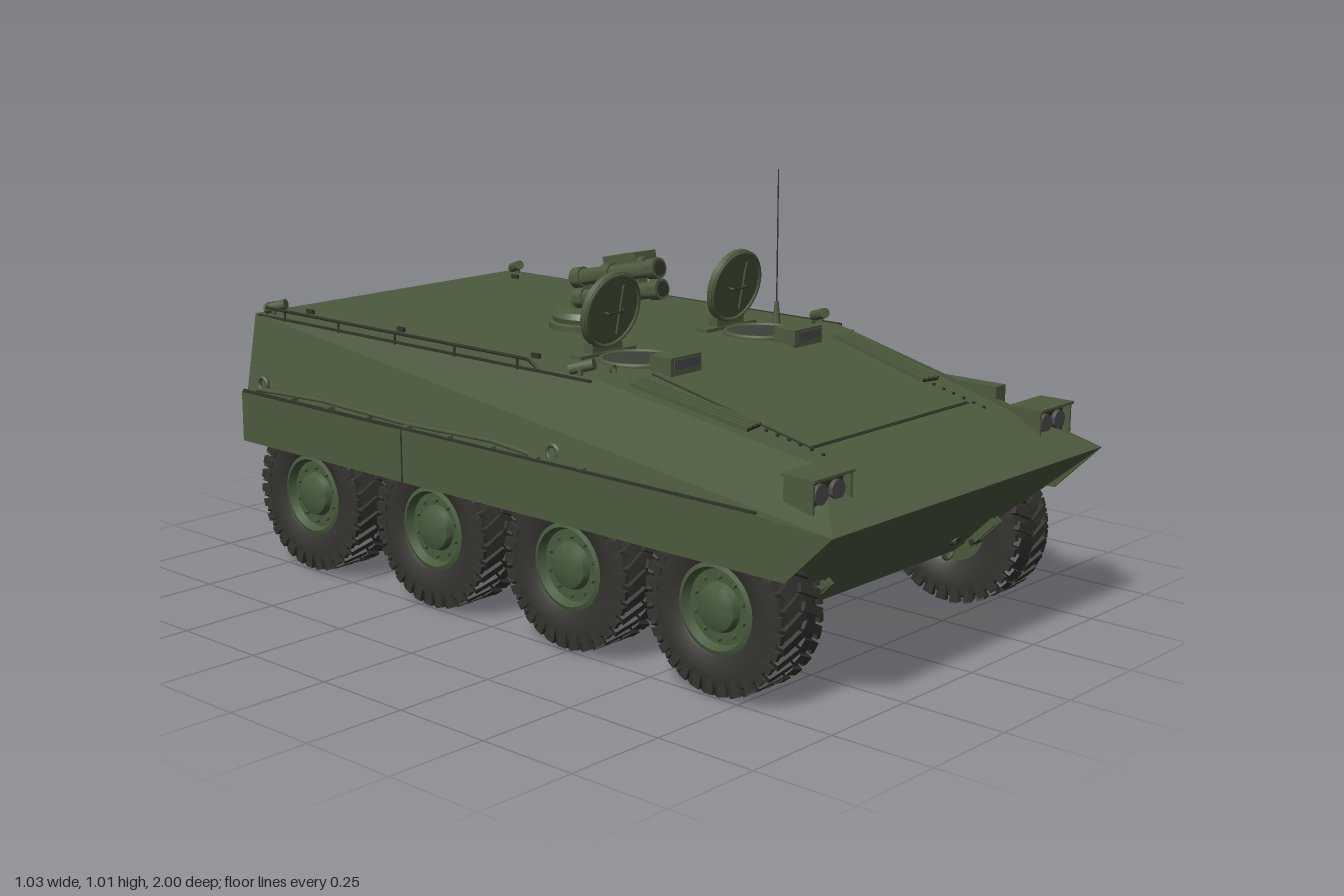
import * as THREE from 'three';
import { mergeGeometries, toCreasedNormals } from 'three/addons/utils/BufferGeometryUtils.js';
import { ConvexGeometry } from 'three/addons/geometries/ConvexGeometry.js';

const mat = (name, color, side = THREE.FrontSide) => new THREE.MeshStandardMaterial({ name, color, side });

export function createModel() {
  const model = new THREE.Group();
  model.name = 'armouredCarrier';
  const green = mat('hullGreen', 0x4d5a3e), sheet = mat('sheetGreen', 0x4d5a3e, THREE.DoubleSide);
  const dark = mat('darkGrille', 0x30352a), rubber = mat('tyreRubber', 0x35332f);
  const rimGreen = mat('rimGreen', 0x475a3c), glass = mat('greyGlass', 0x4a4b4a), pit = mat('hatchInterior', 0x3e4039);

  const add = (name, geo, m, pos = [0, 0, 0], rot = [0, 0, 0], parent = model) => {
    const o = new THREE.Mesh(geo, m);
    o.name = name;
    o.position.set(...pos);
    o.rotation.set(...rot);
    parent.add(o);
    return o;
  };
  const group = (name, pos, rot = [0, 0, 0], parent = model) => {
    const g = new THREE.Group();
    g.name = name;
    g.position.set(...pos);
    g.rotation.set(...rot);
    parent.add(g);
    return g;
  };
  const box = (x, y, z) => new THREE.BoxGeometry(x, y, z);
  const cyl = (r, h, r2 = r, n = 24) => toCreasedNormals(new THREE.CylinderGeometry(r2, r, h, n), 0.6);
  const lathe = (pts, n = 40) => toCreasedNormals(new THREE.LatheGeometry(pts.map(p => new THREE.Vector2(...p)), n), 0.6);
  const tube = (pts, r) => new THREE.TubeGeometry(new THREE.CatmullRomCurve3(pts.map(p => new THREE.Vector3(...p)), false, 'catmullrom', 0.1), 24, r, 6);
  // Convex block whose points are mirrored across x
  const block = pts => new ConvexGeometry(pts.flatMap(([x, y, z]) => [new THREE.Vector3(x, y, z), new THREE.Vector3(-x, y, z)]));
  const sides = [-1, 1], H = Math.PI / 2;

  // Hull
  add('upperHull', block([[0.455, 0.625, -0.91], [0.44, 0.625, 0.28], [0.35, 0.508, 0.85],
    [0.51, 0.418, 1], [0.505, 0.425, 0.8], [0.49, 0.425, -0.91]]), green);
  add('lowerHull', block([[0.355, 0.425, -0.91], [0.35, 0.16, -0.9], [0.34, 0.16, 0.6], [0.3, 0.16, 0.74], [0.355, 0.425, 0.7]]), green);
  add('lowerNose', block([[0.51, 0.418, 1], [0.3, 0.16, 0.74], [0.3, 0.16, 0.6], [0.355, 0.42, 0.6], [0.5, 0.42, 0.86]]), green);
  const noseZ = y => 1 - (0.418 - y) * 1.008;
  add('nosePressing', block([[0.2, 0.38, noseZ(0.38)], [0.14, 0.21, noseZ(0.21)], [0, 0.285, noseZ(0.285) + 0.012]]), green);

  // Skirts and shelves along the sides
  const skirt = new THREE.Shape([[-1, 0.418], [-0.88, 0.3], [0.905, 0.3], [0.905, 0.43], [-0.8, 0.43]].map(p => new THREE.Vector2(...p)));
  for (const s of sides) {
    add('sideSkirt', new THREE.ExtrudeGeometry(skirt, { depth: 0.006, bevelEnabled: false }), green, [s * 0.509 - 0.003, 0, 0], [0, H, 0]);
    add('sponsonShelf', box(0.16, 0.012, 1.75), green, [s * 0.43, 0.422, -0.03]);
    add('skirtJoint', box(0.004, 0.13, 0.005), dark, [s * 0.511, 0.365, -0.29]);
    add('skirtEdge', box(0.006, 0.008, 1.7), dark, [s * 0.509, 0.432, -0.05]);
    for (let i = 0; i < 9; i++) add('shelfBracket', box(0.028, 0.012, 0.02), green, [s * 0.497, 0.434, 0.3 - i * 0.145]);
    add('towCable', tube([[s * 0.497, 0.44, 0.13], [s * 0.497, 0.45, 0], [s * 0.497, 0.442, -0.3], [s * 0.497, 0.45, -0.6], [s * 0.497, 0.44, -0.85]], 0.006), green);
    for (const z of [0.2, -0.84]) add('cableEye', new THREE.TorusGeometry(0.017, 0.006, 8, 16), green, [s * 0.493, 0.455, z], [0, H, 0]);
    add('roofSeam', box(0.006, 0.006, 1.18), dark, [s * 0.453, 0.622, -0.31]);
    for (const z of [-0.8, -0.45, 0.02]) add('roofClip', box(0.008, 0.012, 0.025), dark, [s * 0.365, 0.63, z]);
  }

  // Intake grille on the left flank
  const intake = group('sideIntake', [0.478, 0.485, 0.59]);
  add('intakeFrame', box(0.04, 0.09, 0.3), green, [0, 0, 0], [0, 0, 0], intake);
  add('intakeMesh', box(0.004, 0.072, 0.27), dark, [0.021, 0, 0], [0, 0, 0], intake);
  for (let i = 0; i < 5; i++) add('intakeSlat', box(0.005, 0.005, 0.27), green, [0.023, -0.028 + i * 0.014, 0], [0, 0, 0], intake);
  add('sideLamp', box(0.03, 0.035, 0.06), green, [0.462, 0.59, 0.27]);

  // Glacis panel, louvres and rivets
  const glacis = group('glacis', [0, 0.5665, 0.565], [0.2025, 0, 0]);
  add('enginePanel', box(0.58, 0.008, 0.46), green, [0, 0.001, -0.02], [0, 0, 0], glacis);
  add('enginePanelSeam', box(0.588, 0.004, 0.468), dark, [0, 0, -0.02], [0, 0, 0], glacis);
  for (const s of sides) {
    const louvre = group('louvre', [s * 0.348, 0.003, -0.075], [0, -s * 0.14, 0], glacis);
    add('louvreBase', box(0.052, 0.006, 0.31), dark, [0, 0, 0], [0, 0, 0], louvre);
    for (let i = 0; i < 4; i++) add('louvreBar', box(0.007, 0.012, 0.31), green, [-0.024 + i * 0.016, 0.002, 0], [0, 0, 0], louvre);
    for (let i = 0; i < 6; i++) add('rivet', box(0.006, 0.005, 0.006), dark, [s * (0.31 - i * 0.002), 0.003, 0.1 + i * 0.03], [0, 0, 0], glacis);
  }

  // Headlamps, tow fittings and roof corner launchers
  for (const s of sides) {
    const lamp = group('headlamp', [s * 0.42, 0.482, 0.89]);
    add('lampHousing', box(0.125, 0.07, 0.06), green, [0, 0, -0.01], [0, 0, 0], lamp);
    add('lampHood', box(0.135, 0.006, 0.09), green, [0, 0.036, 0], [0, 0, 0], lamp);
    add('lampRecess', box(0.11, 0.058, 0.004), dark, [0, 0, 0.021], [0, 0, 0], lamp);
    for (const k of sides) {
      add('lens', cyl(0.022, 0.014), glass, [k * 0.028, 0, 0.026], [H, 0, 0], lamp);
      add('lampCheek', box(0.005, 0.07, 0.075), green, [k * 0.063, 0, 0.002], [0, 0, 0], lamp);
    }
    for (const k of sides) add('towBracket', box(0.008, 0.1, 0.03), green, [s * 0.32 + k * 0.011, 0.22, noseZ(0.22) + 0.004], [0.78, 0, 0]);
    add('towPin', cyl(0.007, 0.04), dark, [s * 0.32, 0.19, noseZ(0.19) + 0.018], [0, 0, H]);
    add('towRing', new THREE.TorusGeometry(0.02, 0.005, 8, 20), green, [s * 0.285, 0.163, 0.735]);
    add('rearTowRing', new THREE.TorusGeometry(0.02, 0.005, 8, 20), green, [s * 0.22, 0.17, -0.92]);
    for (const z of [0.23, -0.86]) {
      add('cornerLampStalk', cyl(0.006, 0.03), green, [s * 0.435, 0.632, z]);
      add('cornerLamp', cyl(0.013, 0.06, 0.013, 16), green, [s * 0.428, 0.645, z], [H - 0.3, 0, s * 0.4]);
    }
    add('liftingEye', new THREE.TorusGeometry(0.009, 0.003, 6, 14), green, [s * 0.36, 0.632, 0.26]);
  }
  add('drainPlug', new THREE.TorusGeometry(0.012, 0.004, 8, 20), dark, [0.225, 0.21, noseZ(0.21) + 0.003], [0.78, 0, 0]);

  // Hatches with raised round lids
  const lid = (name, r, pos, tilt) => {
    const g = group(name, pos, [tilt, 0, 0]);
    add('lidPlate', lathe([[0, -0.008], [r, -0.008], [r, 0.006], [r * 0.92, 0.012], [0, 0.014]]), green, [0, 0, 0], [-H, 0, 0], g);
    add('lidRim', new THREE.TorusGeometry(r * 0.93, 0.005, 6, 40), green, [0, 0, 0.008], [0, 0, 0], g);
    add('lidHandle', tube([[-0.028, 0, 0.006], [-0.027, 0, 0.022], [0.027, 0, 0.022], [0.028, 0, 0.006]], 0.003), dark, [0, 0, 0], [0, 0, 0], g);
    add('lidRib', box(0.005, r * 1.3, 0.006), green, [r * 0.25, 0, 0.01], [0, 0, 0], g);
    return g;
  };
  for (const s of sides) {
    const x = s * 0.222;
    lid('crewHatchLid', 0.093, [x, 0.732, 0.122], 0.2);
    add('hatchRing', new THREE.TorusGeometry(0.086, 0.007, 8, 40), green, [x, 0.627, 0.21], [H, 0, 0]);
    add('hatchOpening', cyl(0.084, 0.006, 0.084, 40), pit, [x, 0.626, 0.21]);
    add('hatchBase', box(0.19, 0.008, 0.035), green, [x, 0.629, 0.1]);
    add('hatchHinge', box(0.1, 0.025, 0.03), green, [x, 0.642, 0.098]);
    add('periscope', box(0.105, 0.045, 0.065), green, [x, 0.634, 0.325]);
    add('periscopeGlass', box(0.085, 0.022, 0.004), glass, [x, 0.64, 0.359]);
  }
  lid('rearHatchLid', 0.07, [0.175, 0.705, -0.2], 0.25);
  add('rearHatchHinge', box(0.05, 0.03, 0.025), green, [0.175, 0.635, -0.215]);

  // Weapon mount
  const turret = group('weaponMount', [0, 0.625, -0.16]);
  add('mountRing', lathe([[0.1, 0], [0.1, 0.014], [0.09, 0.018], [0.094, 0.03], [0.085, 0.044], [0.05, 0.05], [0, 0.05]]), green, [0, 0, 0], [0, 0, 0], turret);
  add('pedestal', box(0.09, 0.07, 0.09), green, [0.02, 0.08, 0.02], [0, 0, 0], turret);
  add('yoke', cyl(0.045, 0.025), green, [0, 0.055, 0], [0, 0, 0], turret);
  const cradle = group('launcherCradle', [0, 0.76, 0], [-0.2, 0, 0]);
  for (const y of [-0.025, 0.025]) {
    add('launchTube', cyl(0.02, 0.27), green, [-0.07, y, 0.005], [H, 0, 0], cradle);
    for (const z of [-0.12, -0.02, 0.13]) add('tubeCollar', cyl(0.025, 0.03), green, [-0.07, y, z], [H, 0, 0], cradle);
    add('tubeMouth', cyl(0.018, 0.004), dark, [-0.07, y, 0.146], [H, 0, 0], cradle);
  }
  add('cradleBeam', box(0.07, 0.035, 0.12), glass, [-0.025, -0.01, -0.08], [0, 0, 0], cradle);
  add('crossArm', box(0.12, 0.03, 0.05), green, [0, -0.03, -0.1], [0, 0, 0], cradle);
  add('sightBox', box(0.075, 0.06, 0.11), green, [0.05, 0.035, -0.06], [0, 0, 0], cradle);
  add('sightLens', cyl(0.019, 0.02), green, [0.03, 0.035, 0.003], [H, 0, 0], cradle);
  add('sightGlass', cyl(0.015, 0.004), glass, [0.03, 0.035, 0.014], [H, 0, 0], cradle);
  add('sightBracket', box(0.03, 0.06, 0.05), green, [0.05, -0.02, -0.05], [0, 0, 0], cradle);

  // Antenna and roof rail
  add('antennaBase', cyl(0.011, 0.06, 0.005, 12), green, [0.325, 0.655, 0.175]);
  add('antennaRod', cyl(0.002, 0.36, 0.0015, 6), dark, [0.325, 0.835, 0.175]);
  add('roofRail', tube([[-0.455, 0.625, 0.12], [-0.455, 0.645, 0.09], [-0.455, 0.645, -0.85], [-0.43, 0.645, -0.9], [-0.38, 0.645, -0.905]], 0.004), dark);
  for (let i = 0; i < 5; i++) add('railPost', cyl(0.003, 0.03, 0.003, 6), dark, [-0.455, 0.632, 0.05 - i * 0.21]);

  // Rear doors and stowage bins
  for (const s of sides) {
    add('doorSeam', box(0.204, 0.374, 0.004), dark, [s * 0.103, 0.39, -0.911]);
    add('rearDoor', box(0.196, 0.366, 0.009), green, [s * 0.102, 0.39, -0.912]);
    add('doorHandle', tube([[s * 0.035, 0.43, -0.914], [s * 0.035, 0.425, -0.93], [s * 0.035, 0.37, -0.93], [s * 0.035, 0.365, -0.914]], 0.004), dark);
    for (const y of [0.27, 0.51]) add('doorHinge', box(0.035, 0.016, 0.012), green, [s * 0.195, y, -0.918]);
    add('rearStep', box(0.05, 0.035, 0.03), green, [s * 0.3, 0.19, -0.91]);
    add('tailLamp', box(0.035, 0.05, 0.02), dark, [s * 0.425, 0.5, -0.915]);
    const bin = new THREE.Shape([[0.9, 0.26], [0.945, 0.26], [0.995, 0.31], [0.992, 0.5], [0.96, 0.548], [0.9, 0.565]].map(p => new THREE.Vector2(...p)));
    add('stowageBin', new THREE.ExtrudeGeometry(bin, { depth: 0.14, bevelEnabled: false }), green, [s * 0.3125 - 0.07, 0, 0], [0, H, 0]);
    for (const y of [0.35, 0.41, 0.47]) add('binRib', box(0.148, 0.012, 0.09), green, [s * 0.3125, y, -0.954]);
  }

  // Wheels, sharing one tread and rim geometry
  const tyre = lathe([[0.09, -0.05], [0.108, -0.062], [0.15, -0.069], [0.175, -0.063], [0.184, -0.045], [0.186, 0],
    [0.184, 0.045], [0.175, 0.063], [0.15, 0.069], [0.108, 0.062], [0.09, 0.05]], 48);
  const rim = lathe([[0, -0.05], [0.1, -0.05], [0.102, 0.058], [0.092, 0.062], [0.084, 0.042], [0.056, 0.042], [0.05, 0.058], [0.03, 0.066], [0, 0.066]], 32);
  const lugs = [], count = 30;
  for (let i = 0; i < count; i++) for (const s of sides) {
    const a = (i + (s > 0 ? 0.5 : 0)) / count * Math.PI * 2;
    lugs.push(box(0.016, 0.062, 0.02).rotateX(s * 0.45).translate(0.186, s * 0.031, 0).rotateY(a));
    lugs.push(box(0.034, 0.012, 0.02).translate(0.172, s * 0.064, 0).rotateY(a + 0.07));
  }
  const bolts = [];
  for (let i = 0; i < 10; i++) bolts.push(cyl(0.006, 0.012, 0.006, 6).translate(0.069, 0.046, 0).rotateY(i * Math.PI / 5));
  const tread = mergeGeometries(lugs), boltRing = mergeGeometries(bolts);
  for (const s of sides) for (const z of [0.68, 0.243, -0.206, -0.655]) {
    const w = group('wheel', [s * 0.435, 0.197, z], [0, s > 0 ? 0 : Math.PI, 0]);
    const axis = group('wheelAxis', [0, 0, 0], [0, 0, -H], w);
    add('tyre', tyre, rubber, [0, 0, 0], [0, 0, 0], axis);
    add('tread', tread, rubber, [0, 0, 0], [0, 0, 0], axis);
    add('rim', rim, rimGreen, [0, 0, 0], [0, 0, 0], axis);
    add('wheelBolts', boltRing, rimGreen, [0, 0, 0], [0, 0, 0], axis);
    add('axle', cyl(0.04, 0.12, 0.04, 16), dark, [0, -0.09, 0], [0, 0, 0], axis);
  }
  // Rear mud flaps
  for (const s of sides) add('mudFlap', new THREE.PlaneGeometry(0.14, 0.12), sheet, [s * 0.436, 0.365, -0.9]);
  return model;
}
